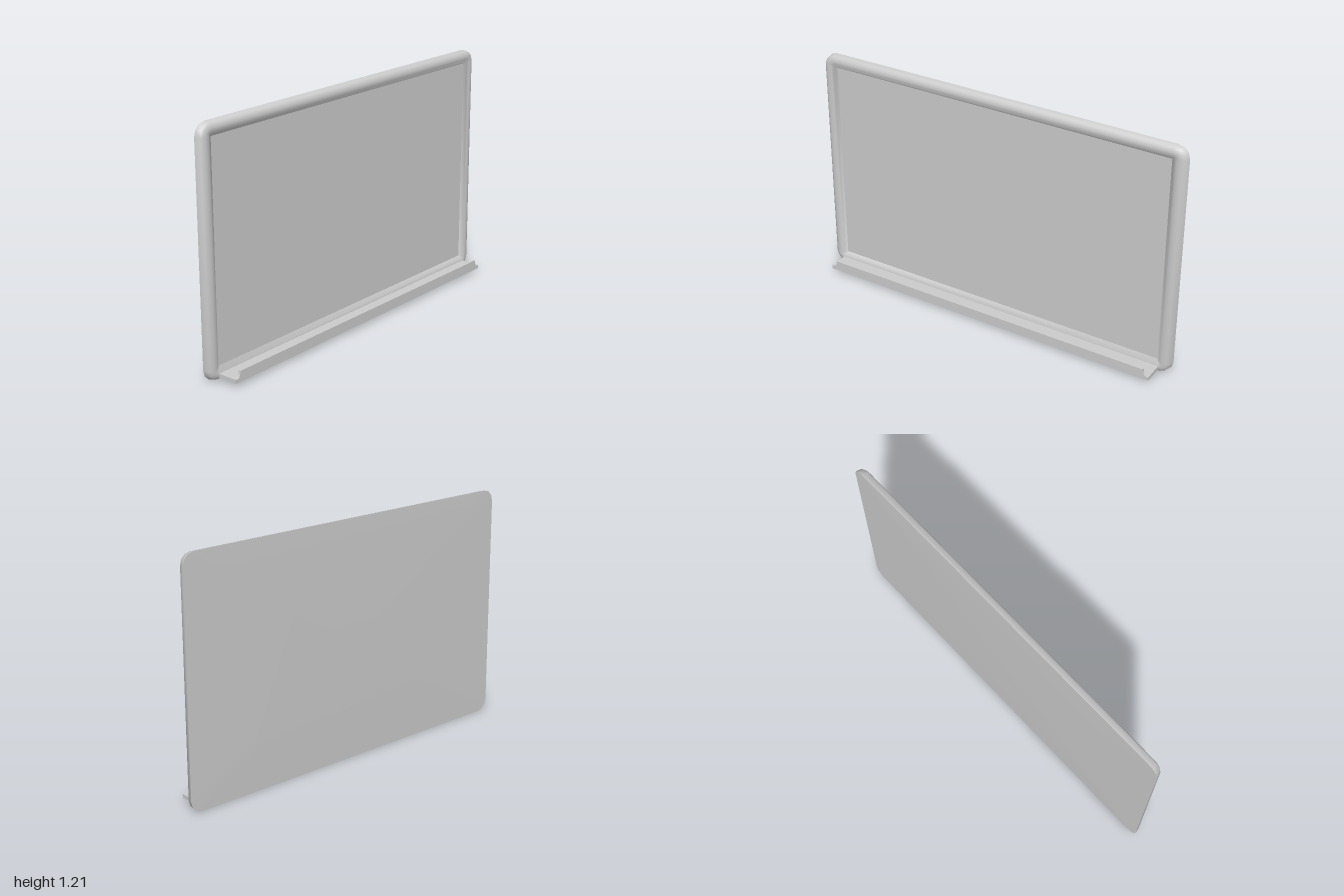
import * as THREE from 'three';
import { toCreasedNormals } from 'three/addons/utils/BufferGeometryUtils.js';

const material = new THREE.MeshStandardMaterial({ color: 0xcccccc });
const MID_Y = 0.608, HALF_W = 1, HALF_H = 0.607, RADIUS = 0.062, STEPS = 3;

// rounded rectangle loop, counter-clockwise from the front, inset by d
function outline(d, z) {
  const r = Math.max(0, RADIUS - d);
  const cx = HALF_W - d * 1.07 - r, cy = HALF_H - d * 0.96 - r;
  const points = [];
  [[1, 1], [-1, 1], [-1, -1], [1, -1]].forEach(([sx, sy], q) => {
    for (let i = 0; i <= STEPS; i++) {
      const a = (q + i / STEPS) * Math.PI / 2;
      points.push([sx * cx + r * Math.cos(a), MID_Y + sy * cy + r * Math.sin(a), z]);
    }
  });
  return points;
}

// joins successive loops with quads; a one-point loop closes as a fan
function loft(loops, crease) {
  const pos = [];
  for (let k = 0; k < loops.length - 1; k++) {
    const a = loops[k], b = loops[k + 1];
    const n = Math.max(a.length, b.length);
    for (let i = 0; i < n; i++) {
      const j = (i + 1) % n;
      const at = (loop, m) => loop[loop.length === 1 ? 0 : m];
      if (a.length > 1) pos.push(...at(a, i), ...at(a, j), ...at(b, j));
      if (b.length > 1) pos.push(...at(a, i), ...at(b, j), ...at(b, i));
    }
  }
  const geometry = new THREE.BufferGeometry();
  geometry.setAttribute('position', new THREE.Float32BufferAttribute(pos, 3));
  return toCreasedNormals(geometry, crease);
}

export function createModel() {
  const group = new THREE.Group();
  const add = (name, geometry) => {
    const mesh = new THREE.Mesh(geometry, material);
    mesh.name = name;
    group.add(mesh);
    return mesh;
  };

  // rounded frame moulding, from the back edge round to the inner edge
  const profile = [[0, -0.065], [0.007, -0.036], [0.017, -0.029], [0.03, -0.025],
    [0.045, -0.026], [0.058, -0.032], [0.07, -0.042]];
  add('frame', loft(profile.map(([d, z]) => outline(d, z)), 0.9));

  // flat writing surface
  const board = add('writingSurface', new THREE.PlaneGeometry(1.852, 1.082));
  board.position.set(0, MID_Y, -0.042);

  // back panel, bowed out slightly to its middle
  add('backPanel', loft([[[0, MID_Y, -0.079]], outline(0, -0.065)], 0.9));

  // tray floor
  const floor = add('trayFloor', new THREE.BoxGeometry(1.88, 0.02, 0.12));
  floor.position.set(0, 0.029, 0.02);

  // upright tray lip with cut-back ends
  const lip = new THREE.Shape();
  lip.moveTo(-0.94, 0.019);
  lip.lineTo(0.94, 0.019);
  lip.lineTo(0.94, 0.036);
  lip.quadraticCurveTo(0.908, 0.036, 0.908, 0.073);
  lip.lineTo(-0.908, 0.073);
  lip.quadraticCurveTo(-0.908, 0.036, -0.94, 0.036);
  const lipGeometry = new THREE.ExtrudeGeometry(lip, { depth: 0.012, bevelEnabled: false, curveSegments: 6 });
  add('trayLip', lipGeometry).position.z = 0.068;

  return group;
}
